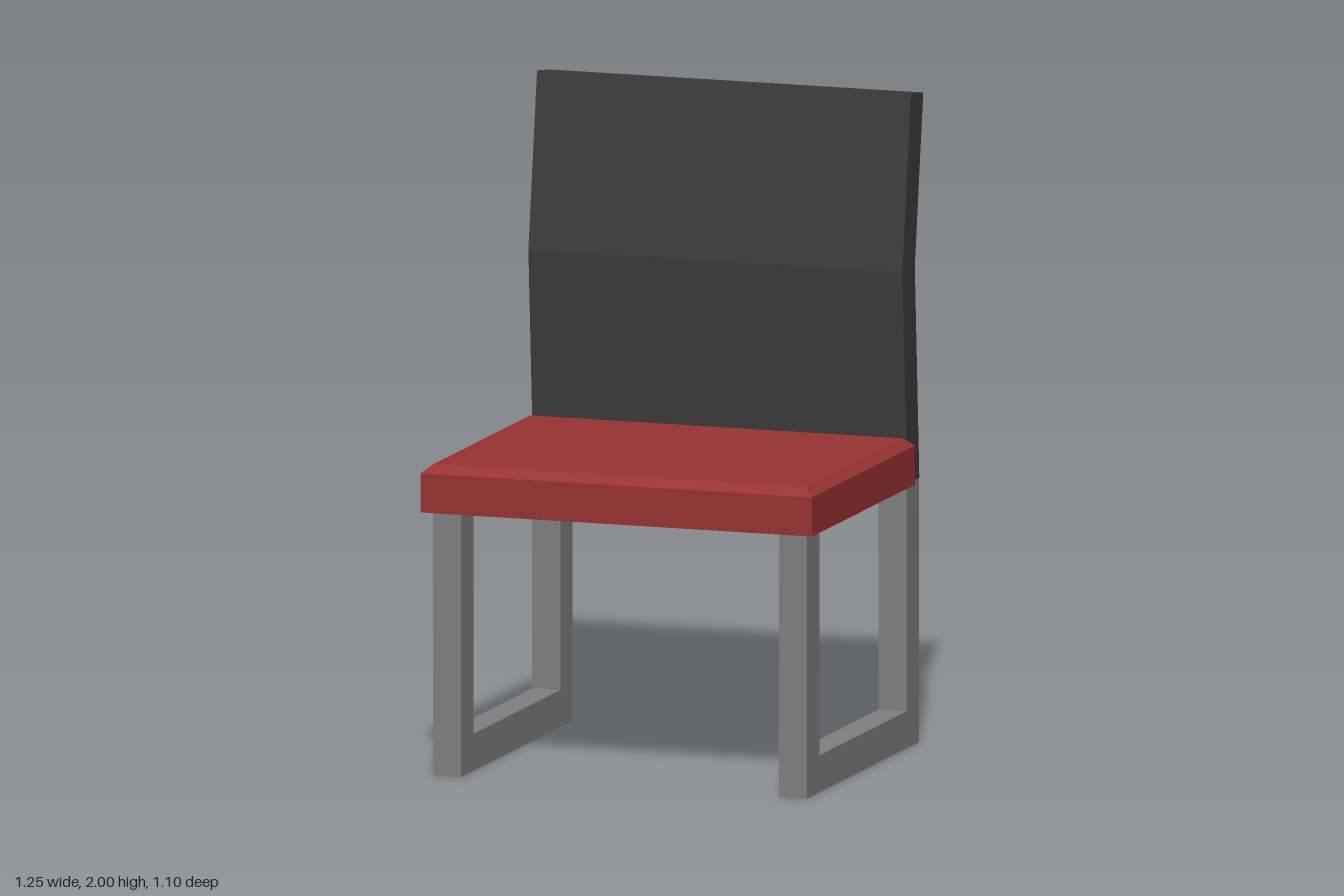
import * as THREE from 'three';

const paint = (color) => new THREE.MeshStandardMaterial({ color, flatShading: true });

// Extrude a side profile of [z, y] points across x, centred on x = 0
function sideProfile(points, width) {
  const shape = new THREE.Shape(points.map(([z, y]) => new THREE.Vector2(z, y)));
  const geometry = new THREE.ExtrudeGeometry(shape, { depth: width, bevelEnabled: false });
  geometry.rotateY(-Math.PI / 2);
  geometry.translate(width / 2, 0, 0);
  return geometry;
}

// Box cushion whose top edges are chamfered by pulling in the upper ring
function cushion(width, height, depth, inset, drop) {
  const geometry = new THREE.BoxGeometry(width, height, depth, 1, 2, 1).toNonIndexed();
  const p = geometry.attributes.position;
  for (let i = 0; i < p.count; i++) {
    const y = p.getY(i);
    if (Math.abs(y) < 1e-6) p.setY(i, height / 2 - drop);
    else if (y > 0) {
      p.setX(i, p.getX(i) - Math.sign(p.getX(i)) * inset);
      p.setZ(i, p.getZ(i) - Math.sign(p.getZ(i)) * inset);
    }
  }
  geometry.computeVertexNormals();
  return geometry;
}

export function createModel() {
  const chair = new THREE.Group();
  chair.name = 'chair';

  const add = (name, geometry, material) => {
    const mesh = new THREE.Mesh(geometry, material);
    mesh.name = name;
    chair.add(mesh);
    return mesh;
  };

  // Seat cushion
  const seat = add('seat', cushion(1.25, 0.145, 0.943, 0.03, 0.025), paint(0x993333));
  seat.position.set(0, 0.8825, 0.0765);

  // Bent backrest
  add('backrest', sideProfile([
    [-0.4, 0.81], [-0.357, 1.465], [-0.436, 2],
    [-0.548, 1.984], [-0.471, 1.465], [-0.512, 0.81],
  ], 1.195), paint(0x3c3c3c));

  // U-shaped leg frames, one on each side
  const legMaterial = paint(0x808080);
  const legGeometry = sideProfile([
    [0.514, 0], [0.514, 0.81], [0.402, 0.81], [0.402, 0.114],
    [-0.393, 0.114], [-0.393, 0.81], [-0.506, 0.81], [-0.506, 0],
  ], 0.09);
  for (const side of [-1, 1]) {
    add(side > 0 ? 'leftLegFrame' : 'rightLegFrame', legGeometry, legMaterial).position.x = side * 0.553;
  }

  return chair;
}
